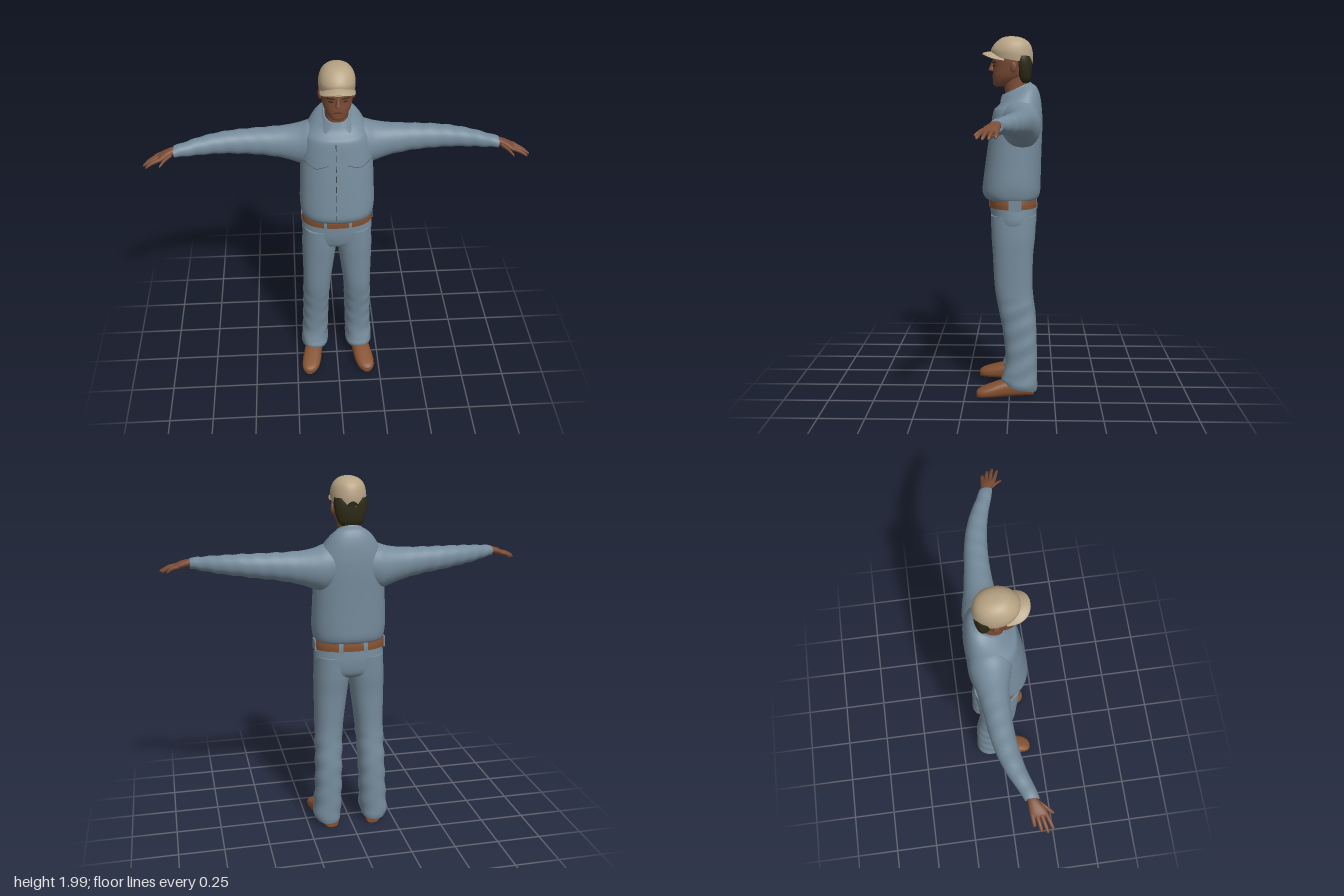
import * as THREE from 'three';
import { ParametricGeometry } from 'three/addons/geometries/ParametricGeometry.js';

const paint = (name, color, side = THREE.FrontSide) => {
  const m = new THREE.MeshStandardMaterial({ color, side });
  m.name = name;
  return m;
};

// Rings are [s, a0, a1, b0, b1]: position on the axis, then the extents across it.
// axis y: a = z, b = x.   axis x: a = y, b = z.   axis z: a = x, b = y.
function smoothRings(rings, steps = 5) {
  const out = [];
  const at = (i) => rings[Math.min(rings.length - 1, Math.max(0, i))];
  for (let i = 0; i < rings.length - 1; i++) {
    for (let k = 0; k < steps; k++) {
      const t = k / steps;
      out.push(at(i).map((p1, c) => {
        const p0 = at(i - 1)[c], p2 = at(i + 1)[c], p3 = at(i + 2)[c];
        return p1 + 0.5 * t * (p2 - p0 + t * (2 * p0 - 5 * p1 + 4 * p2 - p3 + t * (3 * (p1 - p2) + p3 - p0)));
      }));
    }
  }
  out.push(rings[rings.length - 1]);
  return out;
}

// Smooth closed skin over rings, with capped ends and an optional vertex rule.
function loft(axis, rings, { segs = 36, p = 2.3, warp } = {}) {
  const dense = smoothRings(rings), pos = [], idx = [];
  const place = (a, b, s) => {
    const v = axis === 'y' ? new THREE.Vector3(b, s, a)
      : axis === 'x' ? new THREE.Vector3(s, a, b) : new THREE.Vector3(a, b, s);
    if (warp) warp(v);
    pos.push(v.x, v.y, v.z);
  };
  const bend = (c) => Math.sign(c) * Math.abs(c) ** (2 / p);
  const addRing = ([s, a0, a1, b0, b1]) => {
    for (let j = 0; j < segs; j++) {
      const t = (j / segs) * Math.PI * 2;
      place((a0 + a1) / 2 + (a1 - a0) / 2 * bend(Math.cos(t)), (b0 + b1) / 2 + (b1 - b0) / 2 * bend(Math.sin(t)), s);
    }
  };
  dense.forEach(addRing);
  for (let i = 0; i < dense.length - 1; i++) {
    for (let j = 0; j < segs; j++) {
      const a = i * segs + j, b = i * segs + (j + 1) % segs;
      idx.push(a, b, b + segs, a, b + segs, a + segs);
    }
  }
  [dense[0], dense[dense.length - 1]].forEach((r, end) => {
    const base = pos.length / 3;
    addRing(r);
    place((r[1] + r[2]) / 2, (r[3] + r[4]) / 2, r[0]);
    for (let j = 0; j < segs; j++) {
      const a = base + j, b = base + (j + 1) % segs;
      idx.push(base + segs, ...(end ? [a, b] : [b, a]));
    }
  });
  const g = new THREE.BufferGeometry();
  g.setAttribute('position', new THREE.Float32BufferAttribute(pos, 3));
  g.setIndex(idx);
  g.computeVertexNormals();
  return g;
}

function mirrored(geo) {
  const g = geo.clone().scale(-1, 1, 1), ix = g.index.array;
  for (let i = 0; i < ix.length; i += 3) [ix[i], ix[i + 1]] = [ix[i + 1], ix[i]];
  g.computeVertexNormals();
  return g;
}

// Depth of an upright lofted body at x, y on its front (dir 1) or back (dir -1).
function depthAt(rings, p, x, y, dir) {
  const d = smoothRings(rings);
  let i = 0;
  while (i < d.length - 2 && d[i + 1][0] < y) i++;
  const t = (y - d[i][0]) / (d[i + 1][0] - d[i][0]);
  const [, z0, z1, x0, x1] = d[i].map((v, c) => v + (d[i + 1][c] - v) * t);
  const u = Math.min(1, Math.abs((x - (x0 + x1) / 2) / ((x1 - x0) / 2)));
  return (z0 + z1) / 2 + dir * (z1 - z0) / 2 * (1 - u ** p) ** (1 / p);
}

// Thin patch that follows a body; bottom and top are heights along u = 0..1.
function patch(rings, p, x0, x1, bottom, top, lift = 0.003, dir = 1) {
  const g = new THREE.PlaneGeometry(1, 1, 12, 6), q = g.attributes.position;
  for (let i = 0; i < q.count; i++) {
    const u = q.getX(i) + 0.5, v = q.getY(i) + 0.5;
    const x = dir * (x0 + (x1 - x0) * u), y = bottom(u) + (top(u) - bottom(u)) * v;
    q.setXYZ(i, x, y, depthAt(rings, p, x, y, dir) + dir * lift);
  }
  g.computeVertexNormals();
  return g;
}

export function createModel() {
  const root = new THREE.Group();
  root.name = 'standingMan';
  const denim = paint('denim blue', 0x758b9b), skin = paint('skin', 0x7b4c35), leather = paint('brown leather', 0x83502f);
  const canvas = paint('cap canvas', 0xb7a384), hairMat = paint('dark hair', 0x2d2a16);
  const seam = paint('seam', 0x36424b), lips = paint('lips', 0x623626);
  const collarMat = paint('collar denim', 0x758b9b, THREE.DoubleSide);
  const add = (name, geo, mat) => {
    const m = new THREE.Mesh(geo, mat);
    m.name = name;
    root.add(m);
    return m;
  };
  const pair = (name, geo, mat) => { add('left' + name, geo, mat); add('right' + name, mirrored(geo), mat); };
  const flat = (y) => () => y;

  // Shirt body, with the neckline dropping toward the front
  const sym = (list) => list.map(([y, zb, zf, rx]) => [y, zb, zf, -rx, rx]);
  const torso = sym([[1.1, -0.14, 0.115, 0.178], [1.112, -0.158, 0.138, 0.192], [1.145, -0.168, 0.153, 0.2],
    [1.2, -0.17, 0.149, 0.203], [1.3, -0.172, 0.136, 0.199], [1.4, -0.175, 0.122, 0.195], [1.5, -0.178, 0.106, 0.19],
    [1.58, -0.176, 0.092, 0.175], [1.63, -0.166, 0.072, 0.145], [1.67, -0.142, 0.045, 0.108], [1.7, -0.112, 0.03, 0.07]]);
  const neckSlope = (v) => { v.y -= 0.45 * (v.z + 0.03) * THREE.MathUtils.smoothstep(v.y, 1.58, 1.68); };
  add('shirtBody', loft('y', torso, { segs: 48, p: 2.4, warp: neckSlope }), denim);

  // Sleeves with faint folds
  const sleeve = [[0.06, 1.42, 1.65, -0.16, 0.03], [0.14, 1.385, 1.638, -0.168, 0.05], [0.2, 1.402, 1.618, -0.16, 0.035],
    [0.28, 1.43, 1.606, -0.143, 0.018], [0.4, 1.457, 1.602, -0.125, 0.01], [0.5, 1.47, 1.6, -0.113, 0.012],
    [0.6, 1.484, 1.597, -0.092, 0.022], [0.7, 1.496, 1.59, -0.057, 0.042], [0.79, 1.51, 1.58, -0.012, 0.07],
    [0.84, 1.517, 1.572, 0.01, 0.082]];
  const sleeveFold = (v) => { if (v.x > 0.3) v.y += 0.002 * Math.sin(v.x * 70 + v.z * 30); };
  pair('Sleeve', loft('x', sleeve, { p: 2.1, warp: sleeveFold }), denim);

  // Pointed collar, open at the front
  add('collar', new ParametricGeometry((u, v, out) => {
    const gap = 0.3 + 0.4 * v, t = gap + u * (Math.PI * 2 - 2 * gap);
    const z = -0.034 + v * 0.006 + (0.08 + 0.025 * v) * Math.cos(t);
    out.set((0.07 + 0.026 * v) * Math.sin(t), 1.705 - 0.045 * v - 0.45 * (z + 0.03), z);
  }, 40, 4), collarMat);

  // Button line and chest pocket flaps
  for (let i = 0; i < 8; i++) {
    const y = 1.14 + i * 0.058;
    add('placketSeam', patch(torso, 2.4, -0.012, -0.008, flat(y), flat(y + 0.036)), seam);
  }
  for (const s of [-1, 1]) {
    const xs = s < 0 ? [-0.178, -0.05] : [0.05, 0.178];
    const dip = (u) => 1.468 - 0.024 * (1 - Math.abs(2 * u - 1));
    add('pocketSeam', patch(torso, 2.4, ...xs, (u) => dip(u) - 0.004, flat(1.47)), seam);
    add('pocketFlap', patch(torso, 2.4, ...xs, dip, flat(1.505), 0.006), denim);
  }

  // Trousers
  const hips = sym([[0.89, -0.09, 0.05, 0.1], [0.92, -0.135, 0.09, 0.17], [0.98, -0.148, 0.105, 0.195],
    [1.05, -0.147, 0.108, 0.192], [1.12, -0.14, 0.105, 0.183]]);
  add('trouserHips', loft('y', hips, { segs: 48 }), denim);
  const leg = [[0.055, -0.153, 0.035, 0.064, 0.21], [0.08, -0.157, 0.045, 0.058, 0.217], [0.12, -0.155, 0.035, 0.056, 0.215],
    [0.2, -0.154, 0.022, 0.054, 0.207], [0.3, -0.152, 0.028, 0.052, 0.203], [0.4, -0.147, 0.042, 0.049, 0.2],
    [0.5, -0.134, 0.062, 0.044, 0.198], [0.6, -0.126, 0.08, 0.037, 0.196], [0.7, -0.127, 0.088, 0.025, 0.196],
    [0.8, -0.13, 0.093, 0.012, 0.197], [0.9, -0.14, 0.1, 0.001, 0.197], [1.02, -0.145, 0.103, 0.002, 0.19]];
  const legFold = (v) => {
    v.y += 0.22 * (v.z + 0.04) * (1 - THREE.MathUtils.smoothstep(v.y, 0.06, 0.2));
    if (v.y < 0.55) v.x += 0.003 * Math.sin(v.y * 55 + v.z * 25);
  };
  pair('TrouserLeg', loft('y', leg, { warp: legFold }), denim);

  // Belt and its loops
  const belt = sym([[1.06, -0.151, 0.114, 0.196], [1.085, -0.151, 0.115, 0.196], [1.112, -0.147, 0.113, 0.191]]);
  add('belt', loft('y', belt, { segs: 48 }), leather);
  for (const x of [-0.068, 0.068]) {
    add('frontBeltLoop', patch(belt, 2.3, x - 0.008, x + 0.008, flat(1.05), flat(1.112), 0.004), denim);
    add('backBeltLoop', patch(belt, 2.3, x - 0.012, x + 0.012, flat(1.05), flat(1.112), 0.004, -1), denim);
    const side = add('sideBeltLoop', new THREE.BoxGeometry(0.008, 0.06, 0.07), denim);
    side.position.set(Math.sign(x) * 0.194, 1.082, -0.03);
  }

  // Shoes, toes turned slightly outward
  const shoe = [[-0.138, 0.034, 0.05], [-0.12, 0.046, 0.075], [-0.05, 0.05, 0.1], [0, 0.053, 0.1], [0.05, 0.055, 0.088],
    [0.1, 0.056, 0.072], [0.145, 0.05, 0.057], [0.172, 0.035, 0.045], [0.184, 0.016, 0.032]].map(([z, w, h]) => {
    const x = 0.145 + z * 0.17;
    return [z, x - w, x + w, 0, h];
  });
  pair('Shoe', loft('z', shoe, { p: 2.6 }), leather);

  // Hands
  pair('Palm', loft('x', [[0.81, 1.525, 1.57, 0.018, 0.066], [0.85, 1.528, 1.567, 0.022, 0.078],
    [0.89, 1.518, 1.554, 0.025, 0.103], [0.915, 1.512, 1.54, 0.031, 0.109], [0.925, 1.515, 1.532, 0.04, 0.1]], { segs: 20 }), skin);
  const digits = [[0.9, 1.53, 0.036, 0.962, 1.5, 0.042], [0.905, 1.532, 0.056, 0.988, 1.497, 0.072],
    [0.905, 1.532, 0.077, 0.998, 1.497, 0.1], [0.9, 1.53, 0.097, 0.983, 1.5, 0.126], [0.85, 1.54, 0.068, 0.912, 1.508, 0.136]];
  digits.forEach(([x0, y0, z0, x1, y1, z1], i) => {
    const rings = [[0, 0.011], [0.5, 0.01], [0.9, 0.008], [1, 0.003]].map(([t, r]) => {
      const y = y0 + (y1 - y0) * t + 0.006 * Math.sin(Math.PI * t), z = z0 + (z1 - z0) * t;
      const w = i === 4 ? r * 1.35 : r;
      return [x0 + (x1 - x0) * t, y - r, y + r, z - w, z + w];
    });
    pair(i === 4 ? 'Thumb' : 'Finger', loft('x', rings, { segs: 12, p: 2 }), skin);
  });

  // Neck and head
  add('neck', loft('y', sym([[1.58, -0.1, 0.03, 0.06], [1.66, -0.1, 0.027, 0.062], [1.72, -0.097, 0.032, 0.061],
    [1.77, -0.1, 0.04, 0.062]])), skin);
  const head = sym([[1.716, 0.02, 0.078, 0.022], [1.726, -0.01, 0.091, 0.04], [1.75, -0.06, 0.094, 0.06],
    [1.78, -0.092, 0.095, 0.074], [1.82, -0.108, 0.093, 0.082], [1.86, -0.113, 0.096, 0.086], [1.91, -0.105, 0.085, 0.082],
    [1.95, -0.07, 0.05, 0.05]]);
  add('head', loft('y', head), skin);
  add('nose', loft('y', sym([[1.797, 0.08, 0.1, 0.01], [1.805, 0.07, 0.117, 0.016], [1.82, 0.07, 0.113, 0.011],
    [1.852, 0.07, 0.098, 0.007]]), { segs: 16, p: 2 }), skin);
  pair('Ear', new THREE.SphereGeometry(1, 14, 10).scale(0.01, 0.03, 0.018).rotateY(-0.3).translate(0.086, 1.82, -0.018), skin);
  for (const c of [-0.038, 0.038]) {
    add('eyebrow', patch(head, 2.3, c - 0.019, c + 0.019, flat(1.842), flat(1.849)), hairMat);
    add('eye', patch(head, 2.3, c - 0.012, c + 0.012, flat(1.824), flat(1.831)), hairMat);
  }
  add('mouth', patch(head, 2.3, -0.026, 0.026, flat(1.764), (u) => 1.766 + 0.008 * Math.sin(Math.PI * u)), lips);
  add('hair', loft('y', sym([[1.735, -0.1, -0.05, 0.052], [1.76, -0.111, -0.04, 0.07], [1.8, -0.118, -0.03, 0.082],
    [1.85, -0.12, -0.015, 0.088], [1.88, -0.115, -0.01, 0.085]])), hairMat);

  // Cap: crown dips at the back, brim arches over the brow
  const crown = sym([[1.86, -0.122, 0.1, 0.092], [1.9, -0.125, 0.104, 0.094], [1.94, -0.113, 0.088, 0.084],
    [1.968, -0.085, 0.06, 0.062], [1.982, -0.05, 0.032, 0.034], [1.986, -0.02, 0.008, 0.01]]);
  const crownDip = (v) => { v.y += 0.18 * v.z * (1 - THREE.MathUtils.smoothstep(v.y, 1.86, 1.96)); };
  add('capCrown', loft('y', crown, { p: 2.1, warp: crownDip }), canvas);
  const brim = [[0.03, 0.09, 1.893], [0.08, 0.088, 1.9], [0.115, 0.074, 1.9], [0.138, 0.05, 1.896], [0.149, 0.02, 1.892]]
    .map(([z, w, y]) => [z, -w, w, y - 0.005, y + 0.005]);
  add('capBrim', loft('z', brim, { p: 2, warp: (v) => { v.y -= 4.8 * v.x * v.x; } }), canvas);
  const opening = patch(crown, 2.1, -0.035, 0.035, flat(1.862), (u) => 1.863 + 0.025 * Math.sin(Math.PI * u), 0.004, -1);
  add('capOpening', opening.translate(0, -0.022, 0), hairMat);

  return root;
}
